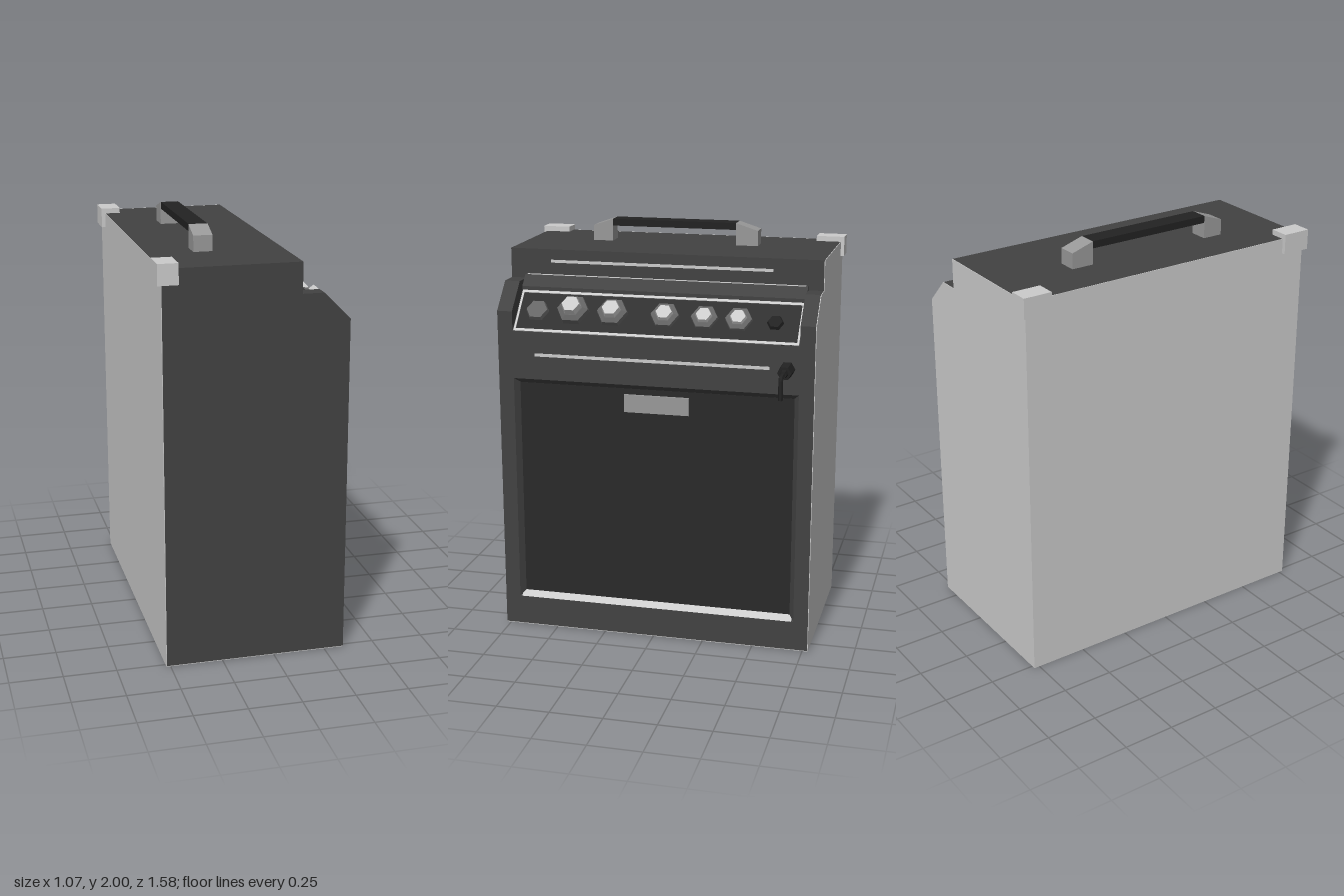
import * as THREE from 'three';

const GREY = 0xcccccc, BODY = 0x424242, CLOTH = 0x292929, PANEL = 0x303030, BLACK = 0x222222, KNOB = 0x666666, METAL = 0x999999;

function add(parent, name, geometry, color, x = 0, y = 0, z = 0) {
  const mesh = new THREE.Mesh(geometry, new THREE.MeshStandardMaterial({ color, flatShading: true }));
  mesh.name = name;
  mesh.position.set(x, y, z);
  parent.add(mesh);
  return mesh;
}

// Box given by its low and high corners
function box(parent, name, color, [x0, y0, z0], [x1, y1, z1]) {
  return add(parent, name, new THREE.BoxGeometry(x1 - x0, y1 - y0, z1 - z0), color,
    (x0 + x1) / 2, (y0 + y1) / 2, (z0 + z1) / 2);
}

function prism(points, depth) {
  const shape = new THREE.Shape(points.map(([x, y]) => new THREE.Vector2(x, y)));
  return new THREE.ExtrudeGeometry(shape, { depth, bevelEnabled: false });
}

// Side profile stretched from z0 to z1
function slice(parent, name, color, points, z0, z1) {
  return add(parent, name, prism(points, z1 - z0), color, 0, 0, z0);
}

// Six-sided turned part with its base on the local ground
function hex(parent, name, color, rTop, rBottom, height, y) {
  return add(parent, name, new THREE.CylinderGeometry(rTop, rBottom, height, 6), color, 0, y + height / 2, 0);
}

export function createModel() {
  const model = new THREE.Group();
  model.name = 'guitarAmplifier';
  const W = 0.775, IN = 0.7, FRONT = 0.345, BACK = -0.517, TOP = 1.89;

  // Cabinet: middle section with the sunken grille and sloping panel, then two cheeks
  const core = [[BACK, 0.003], [FRONT, 0.003], [FRONT, 0.15], [0.315, 0.172], [0.315, 1.265], [FRONT, 1.29],
    [FRONT, 1.525], [0.185, 1.695], [0.185, 1.715], [0.135, 1.765], [0.12, 1.765], [0.12, TOP], [BACK, TOP]];
  slice(model, 'cabinetBody', BODY, core, -IN, IN);
  const cheek = [[BACK, 0.003], [FRONT, 0.003], [FRONT, 1.62], [0.22, 1.745], [0.12, 1.745], [0.12, TOP], [BACK, TOP]];
  slice(model, 'leftCheek', BODY, cheek, IN, W);
  slice(model, 'rightCheek', BODY, cheek, -W + 0.003, -IN);
  slice(model, 'rightSidePlate', GREY, cheek, -W, -W + 0.003);
  box(model, 'backPlate', GREY, [-0.52, 0, -W], [BACK, TOP, W]);
  box(model, 'basePlate', GREY, [BACK, 0, -W], [FRONT, 0.003, W]);

  // Speaker grille with bevelled surround
  box(model, 'grilleCloth', CLOTH, [0.3, 0.17, -0.678], [0.317, 1.265, 0.678]);
  slice(model, 'grilleSill', GREY, [[0.315, 0.15], [0.347, 0.15], [0.317, 0.175], [0.315, 0.175]], -0.69, 0.69);
  for (const s of [-1, 1]) {
    const wedge = [[0.315, s * IN], [FRONT, s * IN], [0.315, s * 0.675]];
    const geometry = prism(wedge, 1.14);
    geometry.rotateX(-Math.PI / 2);
    add(model, 'grilleSideBevel', geometry, BODY, 0, 0.15, 0);
  }
  box(model, 'namePlate', METAL, [0.317, 1.15, -0.17], [0.328, 1.237, 0.15]);

  // Trim strips
  box(model, 'upperTrim', GREY, [0.118, 1.825, -0.53], [0.123, 1.839, 0.57]);
  box(model, 'lowerTrim', GREY, [0.343, 1.405, -0.56], [0.348, 1.42, 0.59]);
  box(model, 'panelLip', GREY, [0.12, 1.76, -0.69], [0.134, 1.767, 0.69]);

  // Sloping control panel: local y points out of the panel
  const panel = new THREE.Group();
  panel.name = 'controlPanel';
  panel.position.set(0.265, 1.61, 0);
  panel.rotation.z = -Math.atan2(0.17, 0.16);
  model.add(panel);
  const L = 0.116;
  box(panel, 'panelFace', PANEL, [-L, -0.005, -0.69], [L, 0.002, 0.69]);
  for (const s of [-1, 1]) {
    add(panel, 'panelBorder', new THREE.BoxGeometry(0.014, 0.007, 1.39), GREY, s * (L - 0.007), 0.002, 0);
    add(panel, 'panelEndBorder', new THREE.BoxGeometry(2 * L, 0.007, 0.01), GREY, 0, 0.002, s * 0.69);
  }

  // Knobs: z position, radius, height
  for (const [z, r, h] of [[0.415, 0.081, 0.075], [0.22, 0.078, 0.06], [-0.038, 0.072, 0.045], [-0.23, 0.068, 0.04], [-0.395, 0.068, 0.037]]) {
    const knob = new THREE.Group();
    knob.name = 'knob';
    knob.position.set(-0.008, 0, z);
    panel.add(knob);
    hex(knob, 'knobSkirt', KNOB, r * 0.95, r, h * 0.4, 0);
    hex(knob, 'knobShoulder', KNOB, r * 0.65, r * 0.95, h * 0.2, h * 0.4);
    hex(knob, 'knobCap', GREY, r * 0.54, r * 0.6, h * 0.4, h * 0.6);
  }
  hex(panel, 'inputSocket', KNOB, 0.052, 0.058, 0.022, 0).position.z = 0.595;
  hex(panel, 'powerSwitch', BLACK, 0.034, 0.042, 0.018, 0).position.z = -0.57;

  // Plug with bent cable
  const plug = new THREE.Group();
  plug.name = 'cablePlug';
  plug.position.set(FRONT, 1.413, -0.643);
  plug.rotation.z = -Math.PI / 2;
  model.add(plug);
  hex(plug, 'plugBody', BLACK, 0.033, 0.038, 0.086, 0);
  hex(plug, 'plugNeck', BLACK, 0.016, 0.02, 0.035, 0.086);
  const path = new THREE.CurvePath();
  const P = [[0.455, 1.413], [0.518, 1.413], [0.526, 1.405], [0.526, 1.31]].map(([x, y]) => new THREE.Vector3(x, y, -0.643));
  for (let i = 0; i < 3; i++) path.add(new THREE.LineCurve3(P[i], P[i + 1]));
  add(model, 'cable', new THREE.TubeGeometry(path, 24, 0.011, 6), BLACK).material.side = THREE.DoubleSide;

  // Carrying handle, its ends sloping down outwards
  box(model, 'handleGrip', BLACK, [-0.3, 1.966, -0.283], [-0.213, 2, 0.35]);
  for (const [inner, outer] of [[0.35, 0.45], [-0.283, -0.393]]) {
    const end = prism([[-inner, TOP], [-outer, TOP], [-outer, 1.965], [-inner, 2]], 0.09);
    end.rotateY(Math.PI / 2);
    add(model, 'handleEnd', end, METAL, -0.302, 0, 0);
  }

  // Rear corner protectors
  for (const s of [-1, 1]) {
    add(model, 'cornerProtector', new THREE.BoxGeometry(0.095, 0.097, 0.14), GREY, -0.4915, 1.867, s * 0.722);
  }

  model.position.z = -0.003;
  const root = new THREE.Group();
  root.add(model);
  return root;
}
